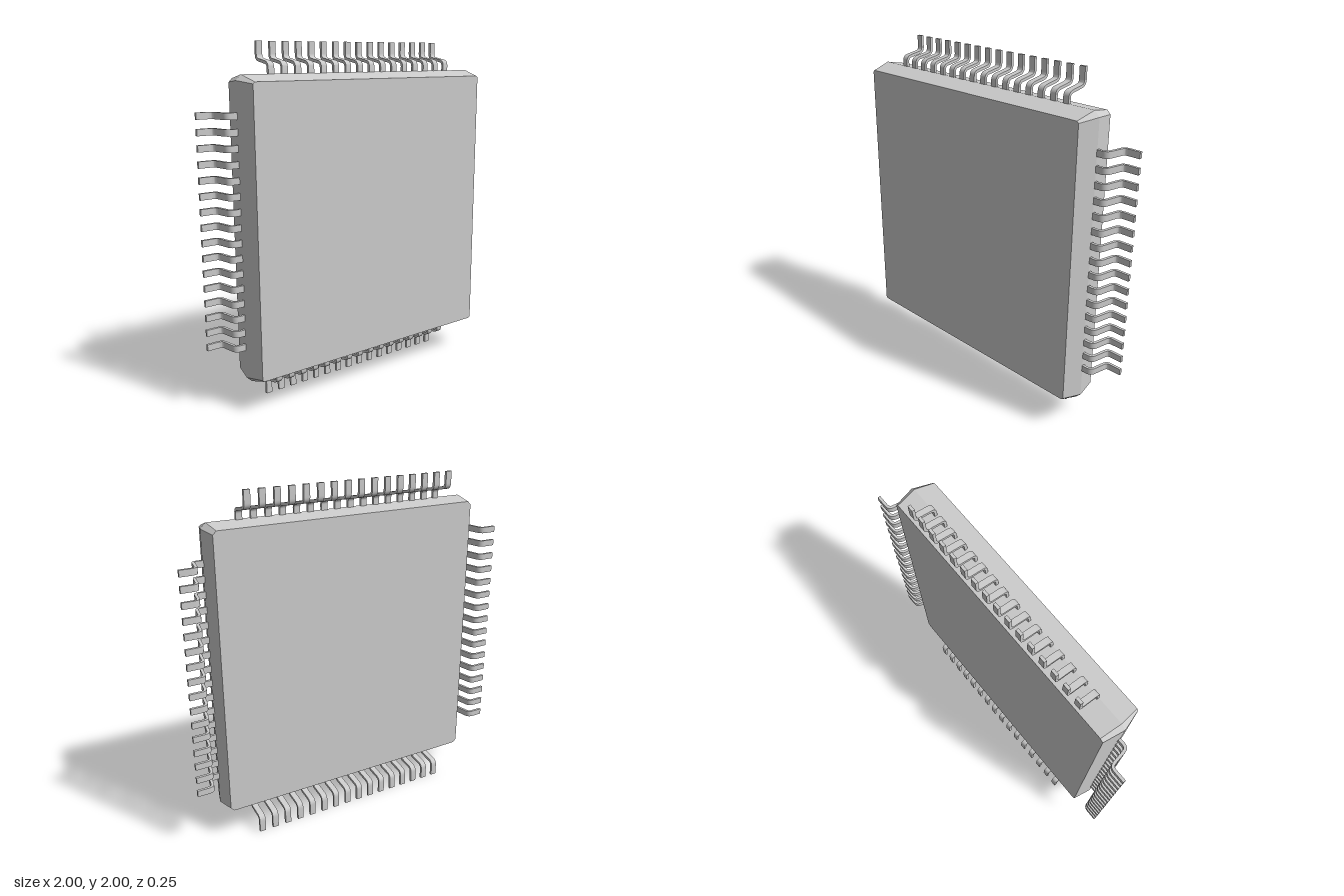
import * as THREE from 'three';
import { toCreasedNormals } from 'three/addons/utils/BufferGeometryUtils.js';

const PINS = 16, PITCH = 0.0833, PIN_WIDTH = 0.036, THICK = 0.016;

// Square outline with cut corners, counter-clockwise seen from +z
function ring(half, cut, z) {
  const a = half, b = half - cut;
  return [[a, -b], [a, b], [b, a], [-b, a], [-a, b], [-a, -b], [-b, -a], [b, -a]]
    .map(([x, y]) => new THREE.Vector3(x, y, z));
}

// Closed body lofted through the rings, back to front
function loft(rings) {
  const pts = [];
  const tri = (a, b, c) => pts.push(a, b, c);
  const n = rings[0].length;
  for (let k = 0; k < rings.length - 1; k++) {
    for (let i = 0; i < n; i++) {
      const j = (i + 1) % n, lo = rings[k], hi = rings[k + 1];
      tri(lo[i], lo[j], hi[j]);
      tri(lo[i], hi[j], hi[i]);
    }
  }
  const back = rings[0], front = rings[rings.length - 1];
  for (let i = 1; i < n - 1; i++) {
    tri(back[0], back[i + 1], back[i]);
    tri(front[0], front[i], front[i + 1]);
  }
  const geo = new THREE.BufferGeometry().setFromPoints(pts);
  geo.computeVertexNormals();
  return geo;
}

// Gull-wing lead: strip of even thickness along a bent centre line (x outward, z depth)
function leadGeometry() {
  const v = (x, y) => new THREE.Vector2(x, y);
  const path = new THREE.CurvePath();
  const bends = [
    [v(0.86, 0.003), v(0.886, 0.003), v(0.89, -0.022)],
    [v(0.902, -0.09), v(0.906, -0.115), v(0.932, -0.115)],
  ];
  let last = v(0.81, 0.003);
  const line = [last];
  for (const [a, corner, b] of bends) {
    path.add(new THREE.LineCurve(last, a));
    path.add(new THREE.QuadraticBezierCurve(a, corner, b));
    line.push(...new THREE.QuadraticBezierCurve(a, corner, b).getPoints(6));
    last = b;
  }
  line.push(v(1, -0.115));

  const side = (s) => line.map((p, i) => {
    const t = line[Math.min(i + 1, line.length - 1)].clone()
      .sub(line[Math.max(i - 1, 0)]).normalize();
    return v(p.x - t.y * s, p.y + t.x * s);
  });
  const shape = new THREE.Shape([...side(-THICK / 2), ...side(THICK / 2).reverse()]);
  const geo = new THREE.ExtrudeGeometry(shape, { depth: PIN_WIDTH, bevelEnabled: false });
  geo.translate(0, 0, -PIN_WIDTH / 2).rotateX(Math.PI / 2);
  return toCreasedNormals(geo, Math.PI / 4);
}

export function createModel() {
  const group = new THREE.Group();
  group.name = 'chipPackage';
  const material = new THREE.MeshStandardMaterial({ color: 0xcccccc });

  // Package body, widest at the seam
  const body = new THREE.Mesh(loft([
    ring(0.81, 0.02, -0.109),
    ring(0.832, 0.03, 0.008),
    ring(0.798, 0.01, 0.123),
  ]), material);
  body.name = 'body';
  body.position.y = 1;
  group.add(body);

  // One row of leads per side
  const geo = leadGeometry();
  ['leftLeads', 'topLeads', 'rightLeads', 'bottomLeads'].forEach((name, k) => {
    const row = new THREE.Group();
    row.name = name;
    row.position.y = 1;
    row.rotation.z = k * Math.PI / 2;
    for (let i = 0; i < PINS; i++) {
      const lead = new THREE.Mesh(geo, material);
      lead.name = 'lead';
      lead.position.y = (i - (PINS - 1) / 2) * PITCH;
      row.add(lead);
    }
    group.add(row);
  });
  return group;
}
